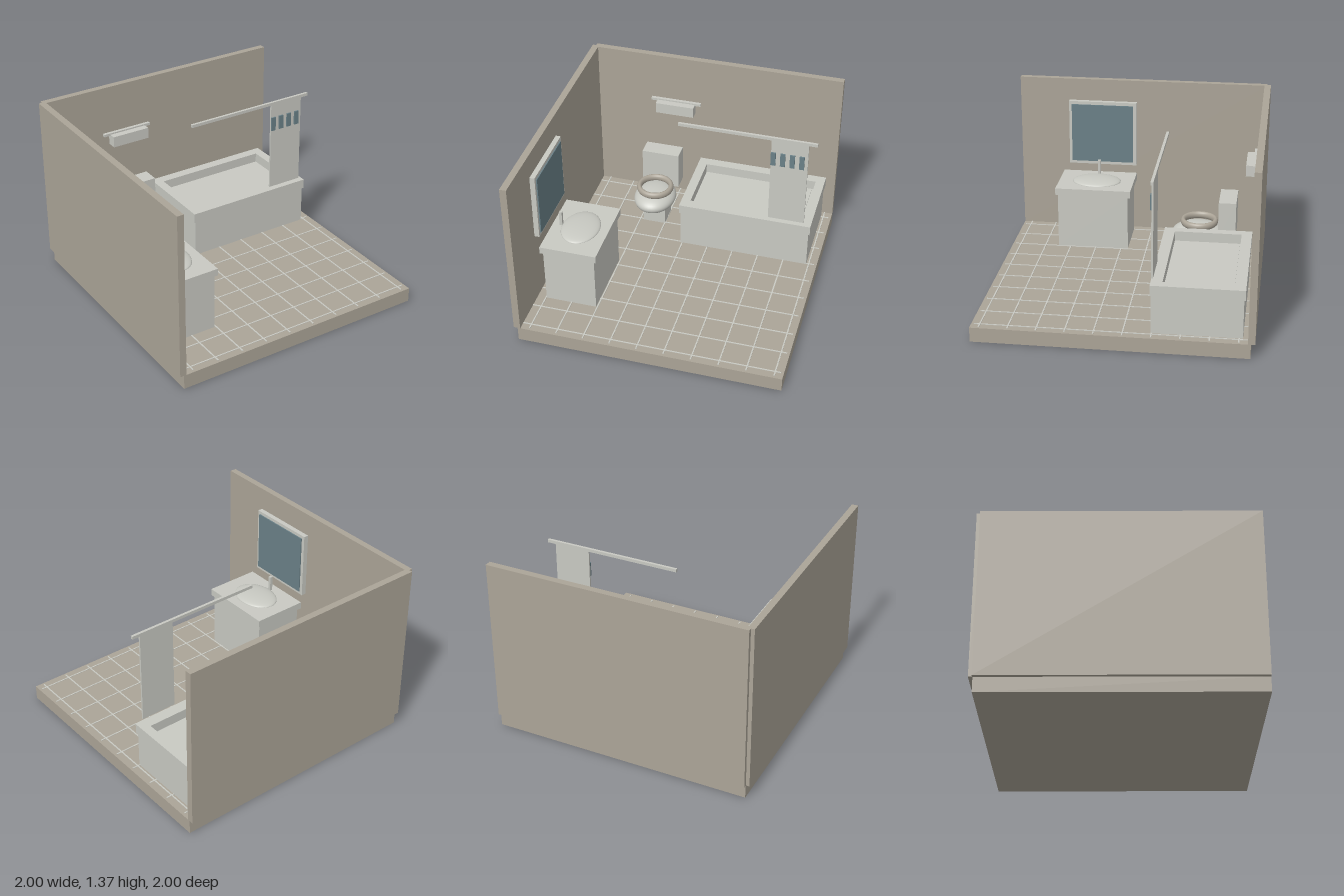
import * as THREE from 'three';

const stone = new THREE.MeshStandardMaterial({ color: 0xaba497 });
stone.name = 'warm stone';
const ceramic = new THREE.MeshStandardMaterial({ color: 0xc8c9c2 });
ceramic.name = 'pale ceramic';
const glass = new THREE.MeshStandardMaterial({ color: 0x6a8087 });
glass.name = 'blue glass';

function add(parent, name, geometry, material) {
  const mesh = new THREE.Mesh(geometry, material);
  mesh.name = name;
  parent.add(mesh);
  return mesh;
}

// Box given by its limits on each axis
function box(parent, name, material, [x0, x1], [y0, y1], [z0, z1]) {
  const mesh = add(parent, name, new THREE.BoxGeometry(x1 - x0, y1 - y0, z1 - z0), material);
  mesh.position.set((x0 + x1) / 2, (y0 + y1) / 2, (z0 + z1) / 2);
  return mesh;
}

function ellipsoid(parent, name, material, center, radii) {
  const mesh = add(parent, name, new THREE.SphereGeometry(1, 40, 24), material);
  mesh.position.set(...center);
  mesh.scale.set(...radii);
  return mesh;
}

function group(parent, name) {
  const g = new THREE.Group();
  g.name = name;
  parent.add(g);
  return g;
}

function buildRoom(root) {
  const room = group(root, 'room');
  box(room, 'floor', stone, [-0.97, 1], [0, 0.11], [-0.97, 1]);
  box(room, 'backWall', stone, [-0.973, 1], [0.11, 1.365], [-1, -0.95]);
  box(room, 'leftWall', stone, [-1, -0.95], [0.11, 1.365], [-0.973, 1]);

  // Tile joints in both directions
  for (let i = 0; i < 10; i++) {
    const p = -0.885 + i * 0.2025;
    box(room, 'groutLineZ', ceramic, [p - 0.005, p + 0.005], [0.109, 0.114], [-0.95, 0.98]);
    box(room, 'groutLineX', ceramic, [-0.95, 0.98], [0.109, 0.1135], [p - 0.005, p + 0.005]);
  }
}

function buildVanity(root) {
  const vanity = group(root, 'vanity');
  box(vanity, 'cabinet', ceramic, [-0.88, -0.49], [0.11, 0.55], [0.073, 0.63]);
  box(vanity, 'countertop', ceramic, [-0.9, -0.47], [0.55, 0.605], [0.052, 0.647]);
  ellipsoid(vanity, 'basin', ceramic, [-0.683, 0.605, 0.347], [0.143, 0.03, 0.192]);
  box(vanity, 'faucet', ceramic, [-0.845, -0.823], [0.605, 0.725], [0.337, 0.36]);

  const mirror = group(root, 'mirror');
  box(mirror, 'mirrorFrame', ceramic, [-0.948, -0.91], [0.665, 1.19], [0.058, 0.602]);
  box(mirror, 'mirrorGlass', glass, [-0.91, -0.901], [0.69, 1.165], [0.085, 0.58]);
}

function buildToilet(root) {
  const toilet = group(root, 'toilet');
  box(toilet, 'tank', ceramic, [-0.51, -0.215], [0.35, 0.65], [-0.79, -0.657]);
  box(toilet, 'pedestal', ceramic, [-0.45, -0.275], [0.11, 0.33], [-0.65, -0.47]);
  ellipsoid(toilet, 'bowl', ceramic, [-0.362, 0.347, -0.5], [0.163, 0.083, 0.205]);
  const ring = new THREE.TorusGeometry(0.125, 0.02, 16, 48).rotateX(-Math.PI / 2).scale(1, 1.38, 1);
  add(toilet, 'seat', ring, stone).position.set(-0.362, 0.437, -0.503);
}

function buildTub(root) {
  const tub = group(root, 'bathtub');
  box(tub, 'tubBody', ceramic, [-0.09, 0.918], [0.11, 0.405], [-0.912, -0.27]);
  box(tub, 'tubFloor', ceramic, [-0.005, 0.835], [0.4, 0.412], [-0.835, -0.355]);

  // Raised rim made of four rails
  const y = [0.405, 0.48];
  box(tub, 'rimLeft', ceramic, [0.86, 0.93], y, [-0.922, -0.262]);
  box(tub, 'rimRight', ceramic, [-0.1, -0.03], y, [-0.922, -0.262]);
  box(tub, 'rimBack', ceramic, [-0.03, 0.86], y, [-0.922, -0.845]);
  box(tub, 'rimFront', ceramic, [-0.03, 0.86], y, [-0.345, -0.262]);

  const shower = group(root, 'showerCurtain');
  box(shower, 'curtainRod', ceramic, [-0.108, 0.94], [1.217, 1.24], [-0.285, -0.265]);
  box(shower, 'curtain', ceramic, [0.6, 0.877], [0.51, 1.217], [-0.28, -0.266]);
  for (let i = 0; i < 4; i++) {
    const x = 0.6 + i * 0.0715;
    box(shower, 'curtainPatch', glass, [x, x + 0.037], [1.005, 1.115], [-0.266, -0.254]);
  }
}

function buildTowel(root) {
  const rack = group(root, 'towelRack');
  box(rack, 'towelRail', ceramic, [-0.505, -0.105], [0.977, 0.997], [-0.934, -0.908]);
  box(rack, 'towel', ceramic, [-0.455, -0.15], [0.9, 0.986], [-0.93, -0.855]);
}

export function createModel() {
  const root = new THREE.Group();
  root.name = 'bathroom';
  buildRoom(root);
  buildVanity(root);
  buildToilet(root);
  buildTub(root);
  buildTowel(root);
  return root;
}
